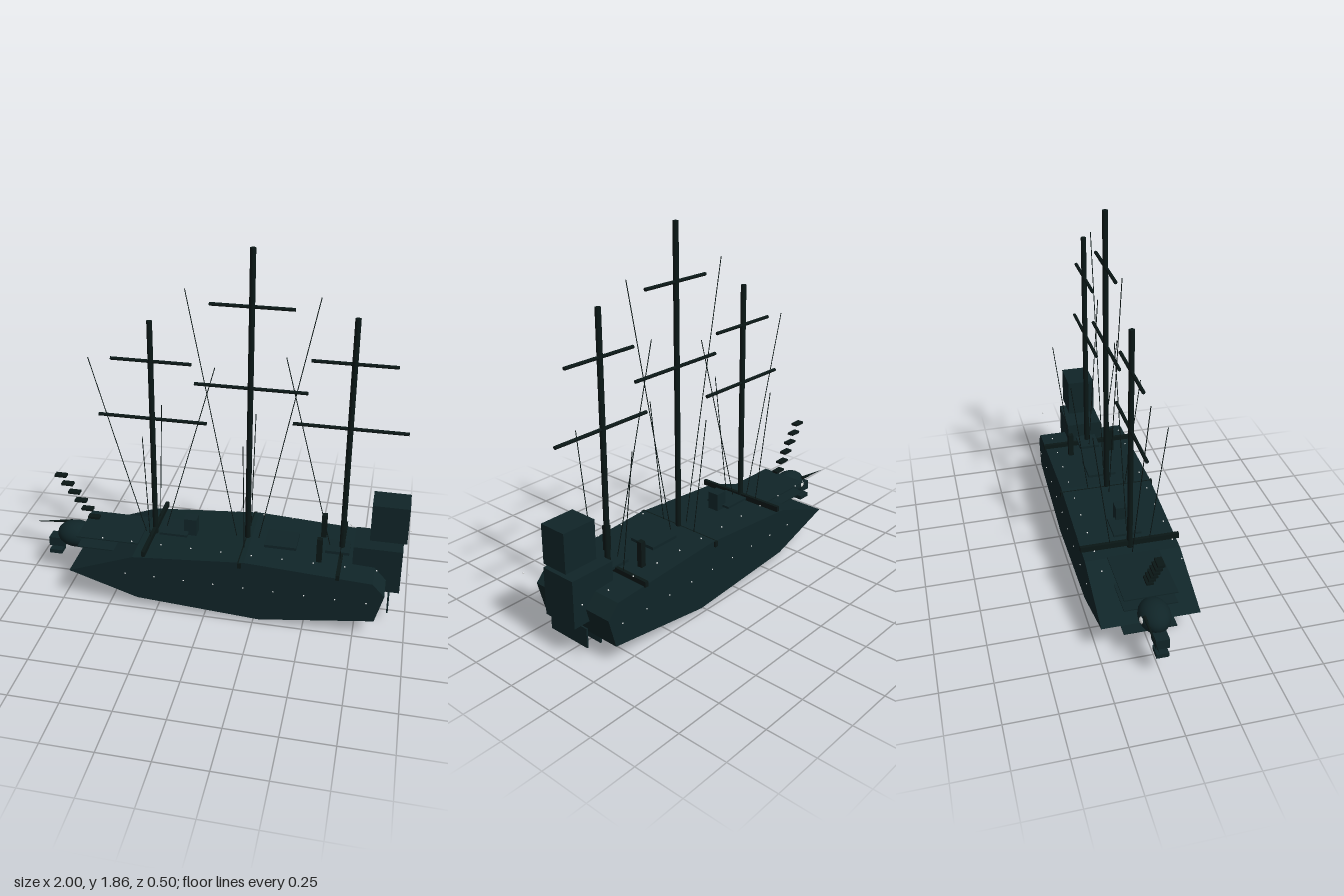
import * as THREE from 'three';

const hullMat = new THREE.MeshStandardMaterial({ color: 0x102528 });
hullMat.name = 'dark teal hull';
const sparMat = new THREE.MeshStandardMaterial({ color: 0x0a1716 });
sparMat.name = 'blackened spars';
const pearlMat = new THREE.MeshStandardMaterial({ color: 0xe6e8e8 });
pearlMat.name = 'pale pearl';

export function createModel() {
  const model = new THREE.Group();
  model.name = 'sailingShip';

  const add = (name, geo, mat, x = 0, y = 0, z = 0) => {
    const m = new THREE.Mesh(geo, mat);
    m.name = name;
    m.position.set(x, y, z);
    model.add(m);
    return m;
  };
  // Box given by its limits in x and y and its width in z
  const box = (name, x0, x1, y0, y1, w, mat = hullMat, z = 0) =>
    add(name, new THREE.BoxGeometry(x1 - x0, y1 - y0, w), mat, (x0 + x1) / 2, (y0 + y1) / 2, z);
  // Round rod between two points
  const rod = (name, a, b, r0, r1, sides, mat = sparMat) => {
    const p = new THREE.Vector3(...a), q = new THREE.Vector3(...b);
    const d = q.clone().sub(p);
    const m = add(name, new THREE.CylinderGeometry(r1, r0, d.length(), sides), mat);
    m.position.copy(p).add(q).multiplyScalar(0.5);
    m.quaternion.setFromUnitVectors(new THREE.Vector3(0, 1, 0), d.normalize());
    return m;
  };

  // Hull: side profile extruded across the beam
  const profile = [[-0.71, 0.175], [-0.35, 0.06], [0.28, 0.02], [0.85, 0.1],
    [0.89, 0.25], [0.83, 0.315], [0.2, 0.35], [-0.37, 0.303]];
  const hull = new THREE.ExtrudeGeometry(
    new THREE.Shape(profile.map(p => new THREE.Vector2(...p))), { depth: 0.48, bevelEnabled: false });
  add('hull', hull, hullMat, 0, 0, -0.24);

  // Ribs below the hull
  for (let i = 0; i < 20; i++) {
    const x = -0.61 + i * 0.08;
    const y = 0.002 + 0.07 * ((x - 0.2) / 0.72) ** 2;
    box('keelRib', x - 0.004, x + 0.004, y, y + 0.1, 0.24);
  }

  // Bow planks
  for (const [y, end] of [[0.31, -0.37], [0.25, -0.5], [0.11, -0.45]])
    box('bowPlank', -0.7, end, y - 0.003, y + 0.003, 0.26);

  // Masts: x, top, then yards as [y, x centre, half length], and stay tops
  const masts = [
    { x: -0.31, top: 1.48, yards: [[1.275, 0.2], [0.97, 0.274]], stay: 1.27, sides: [-1, 1] },
    { x: 0.178, top: 1.86, yards: [[1.585, 0.2], [1.178, 0.274]], stay: 1.65, sides: [-1, 1] },
    { x: 0.66, top: 1.565, yards: [[1.345, 0.2], [1.015, 0.274]], stay: 1.35, sides: [-1] },
  ];
  for (const m of masts) {
    rod('mast', [m.x, 0.05, 0], [m.x, m.top, 0], 0.014, 0.014, 12);
    for (const [y, h] of m.yards)
      rod('yard', [m.x - h, y, 0], [m.x + h, y, 0], 0.009, 0.009, 8);
    for (const s of m.sides)
      rod('stay', [m.x + s * 0.05, 0.31, 0], [m.x + s * 0.315, m.stay, 0], 0.0022, 0.0022, 5);
    for (const s of [-1, 1])
      rod('shroud', [m.x, 0.32, s * 0.098], [m.x, 0.96, s * 0.18], 0.0022, 0.0022, 5);
    box('crossBeam', m.x - 0.009, m.x + 0.009, 0.32, 0.348, 0.5, sparMat);
  }

  // Deck hatches and fittings
  box('foreHatch', -0.27, -0.125, 0.345, 0.357, 0.14);
  box('foreDeckBox', -0.15, -0.085, 0.335, 0.427, 0.06);
  box('mainHatch', 0.275, 0.437, 0.345, 0.36, 0.15);
  box('aftHatch', 0.58, 0.7, 0.34, 0.355, 0.11);
  for (const s of [-1, 1]) box('deckPost', 0.543, 0.57, 0.32, 0.46, 0.028, sparMat, s * 0.115);

  // Stern cabins
  box('sternCabin', 0.72, 0.96, 0.18, 0.42, 0.19);
  box('upperCabin', 0.795, 0.975, 0.455, 0.652, 0.145);

  // Figurehead with snout, jaw, eye and thin horn
  const head = add('figurehead', new THREE.SphereGeometry(1, 20, 14), hullMat, -0.75, 0.245, 0);
  head.scale.set(0.1, 0.07, 0.077);
  box('snout', -0.895, -0.81, 0.17, 0.22, 0.065);
  box('jaw', -0.898, -0.83, 0.12, 0.142, 0.06);
  add('eye', new THREE.SphereGeometry(0.024, 14, 10), pearlMat, -0.775, 0.25, -0.055);
  rod('horn', [-0.79, 0.28, -0.058], [-1, 0.256, -0.05], 0.009, 0.0005, 8);

  // Rising slats above the bow
  for (let i = 0; i < 6; i++) {
    const x = -0.643 - i * 0.0335, y = 0.362 + i * 0.0463;
    box('bowSlat', x - 0.031, x + 0.031, y - 0.006, y + 0.006, 0.034, sparMat);
  }

  // Small pearls along the hull sides and above the deck edge
  const pearl = new THREE.SphereGeometry(0.004, 8, 6);
  for (const s of [-1, 1]) {
    for (let i = 0; i < 9; i++) add('hullPearl', pearl, pearlMat, -0.41 + i * 0.152, 0.2, s * 0.24);
    for (let i = 0; i < 11; i++) add('deckPearl', pearl, pearlMat, -0.535 + i * 0.153, 0.367, s * 0.195);
  }
  return model;
}
